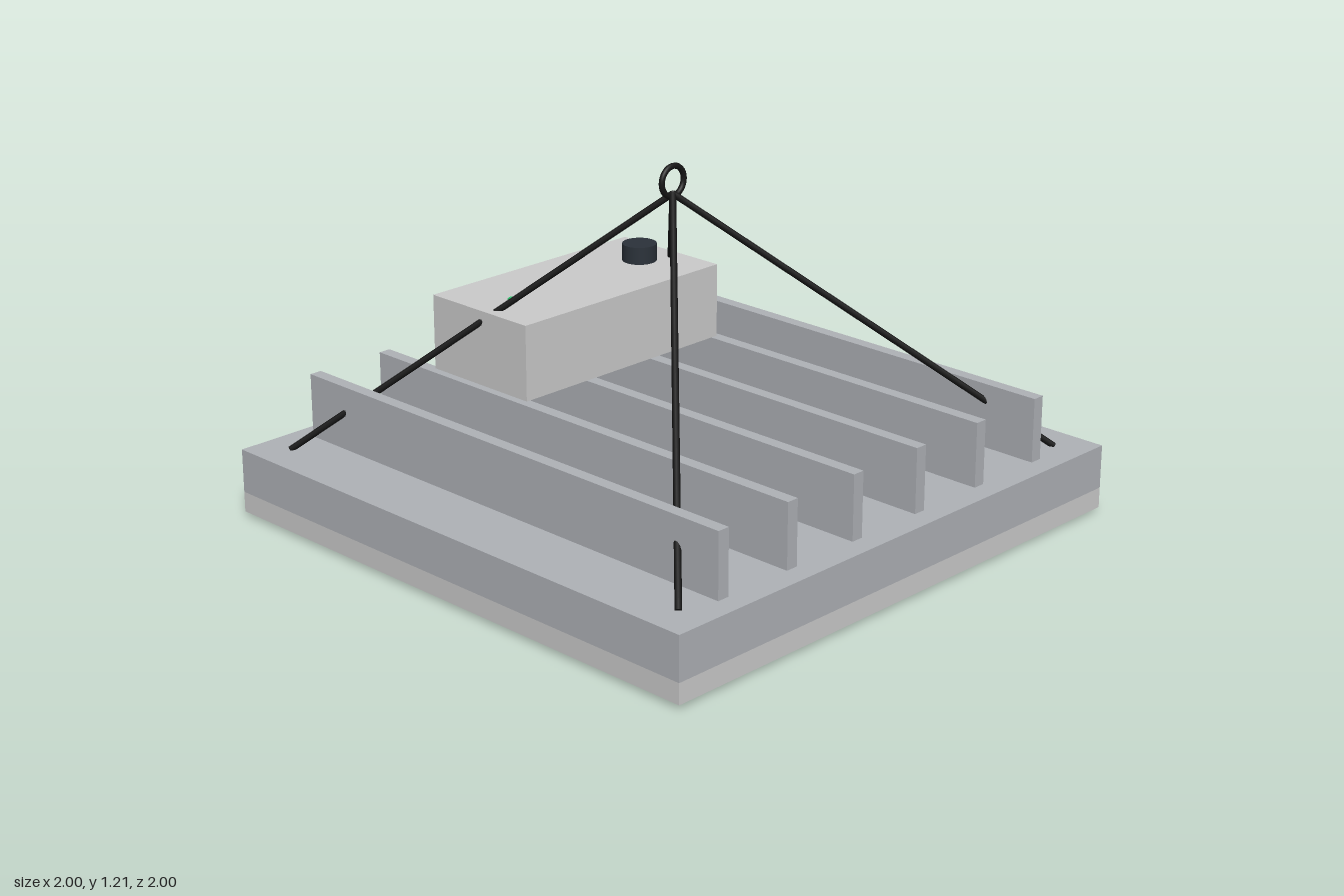
import * as THREE from 'three';

const material = (color) => new THREE.MeshStandardMaterial({ color });

export function createModel() {
  const model = new THREE.Group();
  const metal = material(0xafb2b7);
  const light = material(0xcccccc);
  const black = material(0x161616);

  const add = (name, geometry, mat, x, y, z) => {
    const mesh = new THREE.Mesh(geometry, mat);
    mesh.name = name;
    mesh.position.set(x, y, z);
    model.add(mesh);
    return mesh;
  };
  // Box given by its bottom and top heights
  const slab = (name, mat, w, d, y0, y1, x = 0, z = 0) =>
    add(name, new THREE.BoxGeometry(w, y1 - y0, d), mat, x, (y0 + y1) / 2, z);

  // Square lamp body: light panel, lower rim, heat sink plate
  slab('lightPanel', material(0xe6d7aa), 1.85, 1.85, 0, 0.03);
  slab('lowerRim', light, 2, 2, 0.015, 0.085);
  slab('heatSinkPlate', metal, 2, 2, 0.085, 0.235);

  // Cooling fins running front to back
  for (let i = 0; i < 6; i++) {
    slab('coolingFin', metal, 0.043, 1.85, 0.235, 0.455, (i - 2.5) * 0.296);
  }

  // Driver box with dimmer knob and status light
  slab('driverBox', light, 0.885, 0.444, 0.458, 0.715, 0, -0.444);
  add('dimmerKnob', new THREE.CylinderGeometry(0.059, 0.059, 0.06, 24),
    material(0x2b323a), 0.295, 0.745, -0.446);
  add('statusLight', new THREE.SphereGeometry(0.014, 12, 8),
    material(0x2ecc71), -0.297, 0.711, -0.446);

  // Four hanging cables meeting under the ring
  const apex = new THREE.Vector3(0, 1.105, 0);
  const up = new THREE.Vector3(0, 1, 0);
  for (const sx of [-1, 1]) {
    for (const sz of [-1, 1]) {
      const foot = new THREE.Vector3(sx * 0.887, 0.235, sz * 0.887);
      const along = apex.clone().sub(foot);
      const mid = foot.clone().add(apex).multiplyScalar(0.5);
      const cable = add('hangingCable',
        new THREE.CylinderGeometry(0.011, 0.011, along.length(), 8), black, mid.x, mid.y, mid.z);
      cable.quaternion.setFromUnitVectors(up, along.normalize());
    }
  }
  add('hangingRing', new THREE.TorusGeometry(0.05, 0.01, 10, 32), black, 0, 1.146, 0);

  return model;
}
